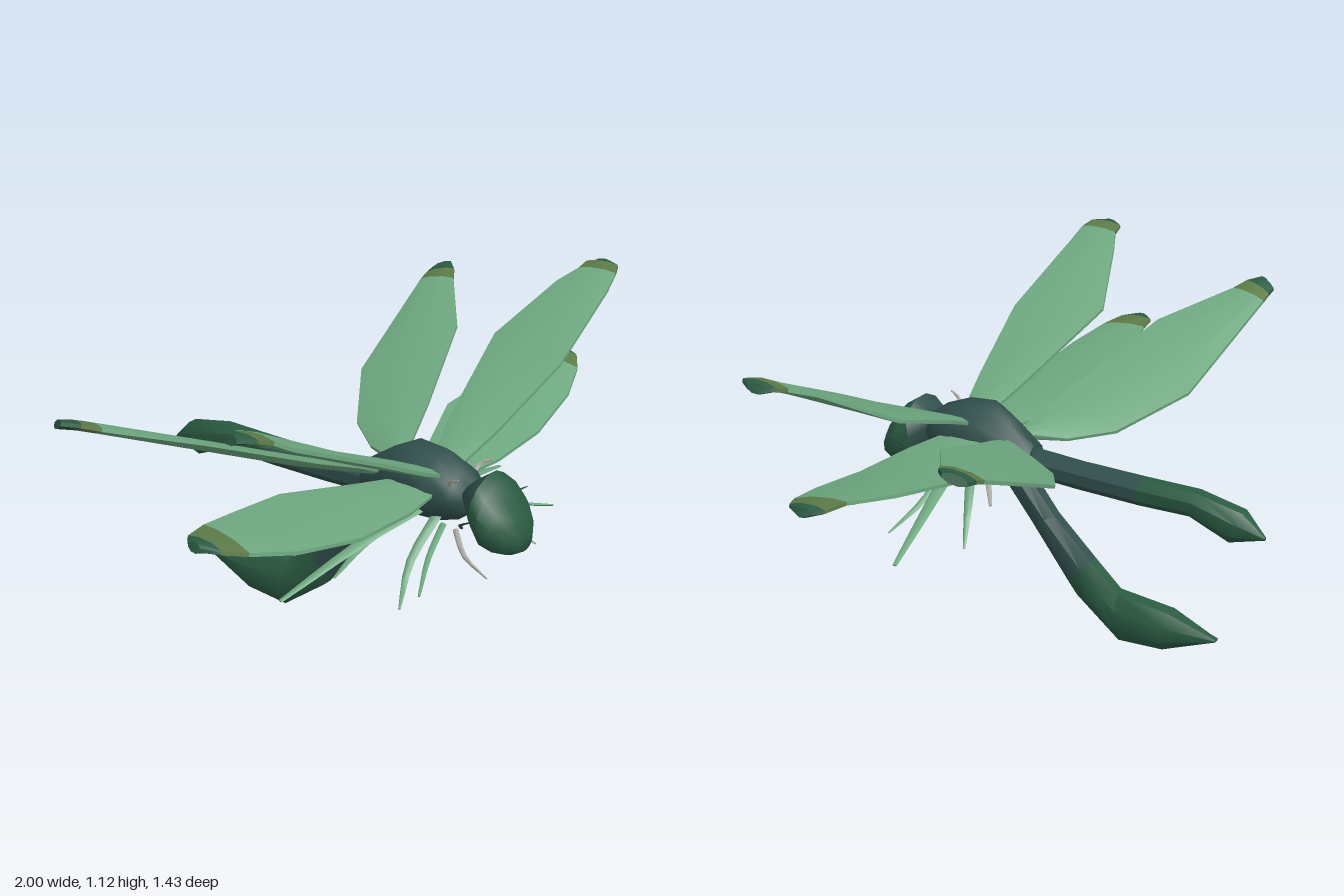
import * as THREE from 'three';
import { toCreasedNormals } from 'three/addons/utils/BufferGeometryUtils.js';

const mat = (name, color) => Object.assign(new THREE.MeshStandardMaterial({ color }), { name });
const wingGreen = mat('wing green', 0x6ea880);
const olive = mat('olive band', 0x5c7a48);
const darkGreen = mat('dark green', 0x2a5a42);
const teal = mat('dark teal', 0x304f4c);
const grey = mat('pale grey', 0xa9aaa4);
const V = (x, y, z) => new THREE.Vector3(x, y, z);

// Closed skin over a list of rings, wound so that it faces outwards
function loft(rings, crease = 0.7) {
  const tris = [], n = rings[0].length;
  for (let i = 0; i + 1 < rings.length; i++)
    for (let j = 0; j < n; j++) {
      const k = (j + 1) % n, a = rings[i], b = rings[i + 1];
      tris.push([a[j], a[k], b[k]], [a[j], b[k], b[j]]);
    }
  const last = rings[rings.length - 1];
  for (let j = 1; j + 1 < n; j++) {
    tris.push([rings[0][0], rings[0][j + 1], rings[0][j]], [last[0], last[j], last[j + 1]]);
  }
  const o = rings[0][0];
  let volume = 0;
  for (const [a, b, c] of tris)
    volume += a.clone().sub(o).dot(b.clone().sub(o).cross(c.clone().sub(o)));
  const pos = [];
  for (const [a, b, c] of tris)
    for (const p of volume < 0 ? [a, c, b] : [a, b, c]) pos.push(p.x, p.y, p.z);
  const g = new THREE.BufferGeometry();
  g.setAttribute('position', new THREE.Float32BufferAttribute(pos, 3));
  return toCreasedNormals(g, crease);
}

function add(group, name, geometry, material) {
  const m = new THREE.Mesh(geometry, material);
  m.name = name;
  group.add(m);
}

// Wing stations: front edge x, y, z, then rear edge x, y, z
const wings = {
  upperWing: [
    [.05, .68, .44, .05, .68, .34], [.2, .75, .475, .2, .75, .295], [.5, .9, .525, .6, .915, .215],
    [.85, 1.06, .5, .84, 1.06, .31], [.92, 1.1, .49, .92, 1.095, .35], [.965, 1.115, .475, .965, 1.11, .355],
    [.995, 1.115, .43, .985, 1.11, .375]],
  rearWing: [
    [.04, .64, .22, .04, .63, .19], [.14, .68, .2, .1, .63, .06], [.3, .74, .15, .2, .65, -.07],
    [.66, .89, .025, .43, .74, -.22], [.9, .97, -.15, .88, .95, -.278], [.95, .99, -.18, .92, .965, -.28],
    [.99, 1, -.22, .96, .975, -.28]],
  lowerWing: [
    [.05, .63, .43, .05, .63, .28], [.25, .635, .46, .2, .645, .22], [.5, .65, .46, .46, .68, .125],
    [.75, .7, .43, .7, .725, .16], [.9, .74, .38, .88, .765, .2], [.965, .76, .34, .96, .768, .215],
    [.995, .765, .29, .99, .768, .245]],
};

// Lens section between the two edges of a wing
function wingRing([ax, ay, az, bx, by, bz], side) {
  const f = V(ax * side, ay, az), b = V(bx * side, by, bz), t = 0.013;
  const at = (u, h) => f.clone().lerp(b, u).add(V(-0.4 * h * side, h, 0));
  return [at(0, t * .4), at(.3, t), at(.7, t), at(1, t * .4), at(1, -t * .4), at(.7, -t), at(.3, -t), at(0, -t * .4)];
}

// Eight-sided section in the x-z plane or in a plane through a slanted top-bottom pair
function bodyRing(zTop, yTop, zLow, yLow, w, n = 8) {
  const top = V(0, yTop, zTop), low = V(0, yLow, zLow), ring = [];
  for (let i = 0; i < n; i++) {
    const a = (i + .5) / n * Math.PI * 2, k = 1 / Math.cos(Math.PI / n);
    const p = top.clone().lerp(low, .5 - .5 * Math.cos(a) * k);
    p.x = w * Math.sin(a) * k;
    ring.push(p);
  }
  return ring;
}
const rings = (rows, n) => rows.map(r => bodyRing(...r, n));

// Tapering curved limb: flat gives the ratio of its thickness to its width
function limb(points, r0, r1, flat, side) {
  const curve = new THREE.CatmullRomCurve3(points.map(([x, y, z]) => V(x * side, y, z)));
  const out = [], steps = 6;
  for (let i = 0; i <= steps; i++) {
    const u = i / steps, dir = curve.getTangent(u), p = curve.getPoint(u);
    const wide = V(0, 0, 1).addScaledVector(dir, -dir.z).normalize();
    const thin = dir.clone().cross(wide);
    const r = r0 + (r1 - r0) * u * u;
    out.push([0, 1, 2, 3, 4, 5].map(j => p.clone()
      .addScaledVector(wide, r * Math.cos(j * Math.PI / 3))
      .addScaledVector(thin, r * flat * Math.sin(j * Math.PI / 3))));
  }
  return loft(out, 0.9);
}

export function createModel() {
  const model = new THREE.Group();

  // Head, leaning forwards
  const head = rings([
    [.525, .67, .515, .62, .06], [.585, .713, .56, .53, .105], [.62, .69, .60, .485, .125],
    [.66, .645, .645, .475, .118], [.695, .59, .685, .475, .085], [.72, .545, .715, .49, .035]], 12);
  add(model, 'headBack', loft(head.slice(0, 2), 1), teal);
  add(model, 'headFront', loft(head.slice(1), 1), darkGreen);

  // Thorax with neck
  add(model, 'thorax', loft(rings([
    [.54, .66, .53, .57, .05], [.49, .7, .49, .54, .085], [.4, .735, .42, .52, .108],
    [.3, .745, .33, .515, .108], [.21, .7, .23, .5, .08], [.12, .64, .12, .53, .045]], 10), 1), teal);

  // Two tails, one level and one hanging, each with a green end
  const upperTail = rings([
    [.2, .62, .2, .53, .045], [-.05, .612, -.05, .522, .04], [-.28, .612, -.28, .522, .043],
    [-.48, .615, -.46, .53, .046], [-.64, .585, -.6, .475, .044], [-.715, .515, -.715, .505, .006]]);
  add(model, 'upperTail', loft(upperTail.slice(0, 3)), teal);
  add(model, 'upperTailEnd', loft(upperTail.slice(2)), darkGreen);
  const lowerTail = rings([
    [.17, .56, .24, .5, .045], [.04, .40, .13, .36, .04], [-.1, .27, -.02, .165, .042],
    [-.2, .178, -.05, .13, .046], [-.215, .175, -.215, .005, .053], [-.4, .16, -.38, .02, .056],
    [-.565, .105, -.565, .095, .012]]);
  add(model, 'lowerTail', loft(lowerTail.slice(0, 3)), teal);
  add(model, 'lowerTailEnd', loft(lowerTail.slice(2)), darkGreen);

  for (const [side, label] of [[1, 'left'], [-1, 'right']]) {
    const half = new THREE.Group();
    half.name = label + 'Limbs';
    model.add(half);

    // Wings with olive band and dark tip
    for (const [name, rows] of Object.entries(wings)) {
      const r = rows.map(row => wingRing(row, side));
      add(half, name, loft(r.slice(0, 5)), wingGreen);
      add(half, name + 'Band', loft(r.slice(4, 6)), olive);
      add(half, name + 'Tip', loft(r.slice(5)), darkGreen);
    }

    // Green blade legs
    add(half, 'longLeg', limb([[.07, .57, .38], [.3, .52, .32], [.615, .43, .25]], .026, .008, .35, side), wingGreen);
    add(half, 'frontLeg', limb([[.06, .55, .43], [.2, .45, .43], [.34, .36, .487]], .018, .004, .6, side), wingGreen);
    add(half, 'rearLeg', limb([[.06, .54, .34], [.2, .46, .26], [.3, .36, .21]], .018, .005, .6, side), wingGreen);
    add(half, 'foreLeg', limb([[.07, .53, .46], [.24, .5, .52], [.39, .46, .59]], .011, .004, .7, side), wingGreen);

    // Pale thin legs and bristles
    add(half, 'paleRearLeg', limb([[.06, .57, .31], [.13, .55, .23], [.23, .5, .15]], .014, .005, .6, side), grey);
    add(half, 'paleHindBristle', limb([[.04, .62, .22], [.07, .59, .18], [.09, .53, .15]], .009, .003, .7, side), grey);
    add(half, 'paleForeLeg', limb([[.06, .52, .5], [.13, .48, .58], [.145, .44, .67]], .009, .003, .7, side), grey);
    add(half, 'neckBristle', limb([[.06, .66, .48], [.09, .69, .49], [.1, .71, .53]], .008, .003, .7, side), grey);
    add(half, 'cheekBristle', limb([[.09, .55, .54], [.13, .58, .56], [.16, .62, .62]], .006, .002, .7, side), teal);
  }
  return model;
}
